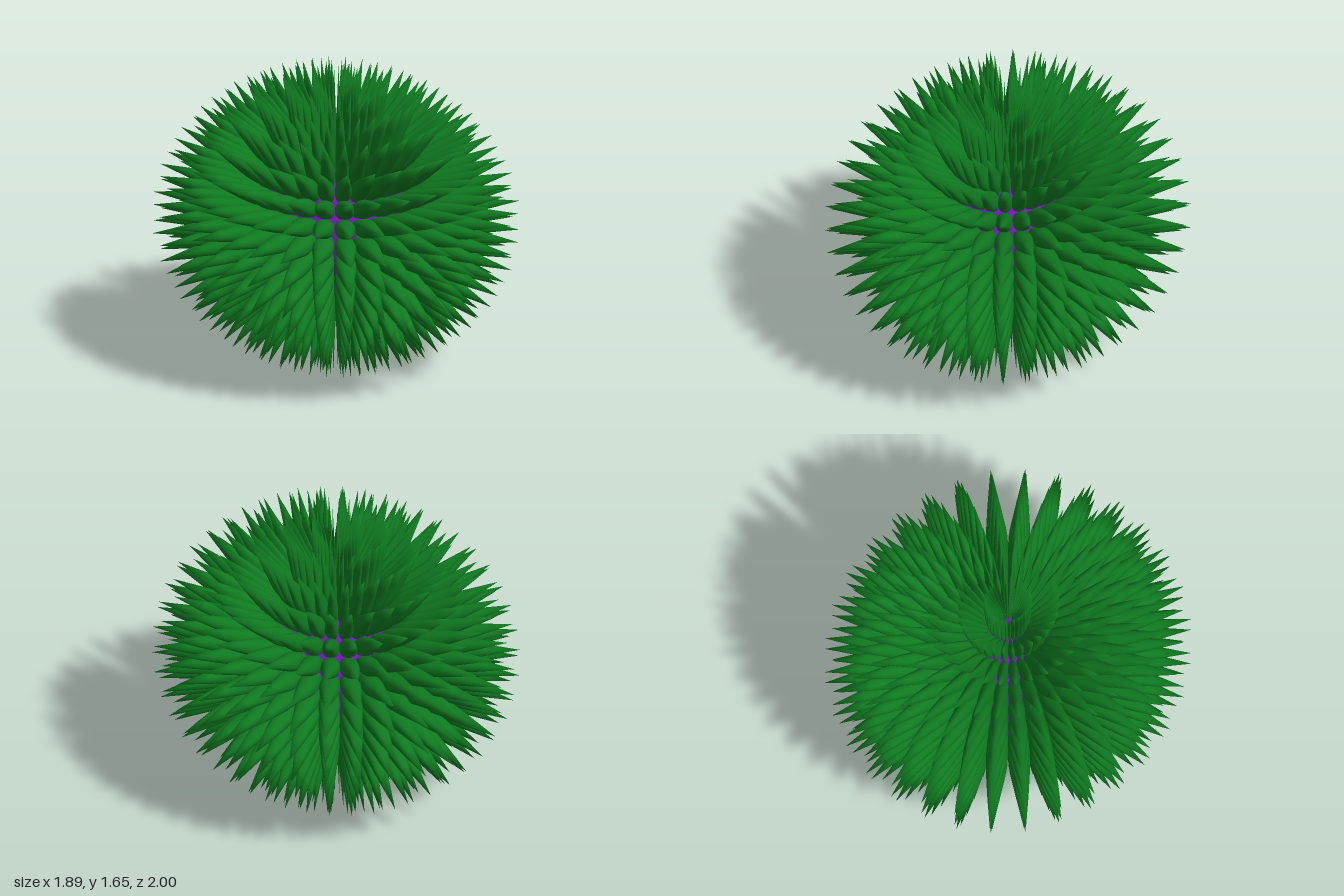
import * as THREE from 'three';

const COLUMNS = 32, ROWS = 16, SAMPLES = 4;
const SCALE = new THREE.Vector3(0.955, 0.832, 1.01); // squashed ball, tip to centre
const CENTRE_Y = 0.826;
// [distance from the centre, size of the section]: narrow neck, bulge, long taper
const PROFILE = [[0.47, 0.43], [0.53, 0.505], [0.575, 0.575], [0.62, 0.605], [0.67, 0.565], [0.82, 0.33], [1, 0]];

function direction(row, column) {
  const theta = (row / ROWS) * Math.PI, phi = (column / COLUMNS) * Math.PI * 2;
  return new THREE.Vector3(Math.sin(theta) * Math.sin(phi), Math.cos(theta), Math.sin(theta) * Math.cos(phi));
}

// corners of one cell of the ball, counter-clockwise from outside; triangles at the poles
function cellCorners(row, column) {
  const corners = [];
  corners.push(direction(row + 1, column));
  if (row < ROWS - 1) corners.push(direction(row + 1, column + 1));
  corners.push(direction(row, column + 1));
  if (row > 0) corners.push(direction(row, column));
  return corners;
}

// rounded outline touching the middle of each cell edge
function roundedOutline(corners) {
  const points = [], n = corners.length;
  corners.forEach((corner, i) => {
    const a = corners[(i + n - 1) % n].clone().lerp(corner, 0.5);
    const b = corners[(i + 1) % n].clone().lerp(corner, 0.5);
    const curve = new THREE.QuadraticBezierCurve3(a, corner, b);
    for (let s = 0; s < SAMPLES; s++) points.push(curve.getPoint(s / SAMPLES));
  });
  return points;
}

function addSpike(row, column, positions, indices) {
  const corners = cellCorners(row, column);
  const middle = new THREE.Vector3();
  corners.forEach((c) => middle.addScaledVector(c, 1 / corners.length));
  const axis = middle.clone().normalize();
  const outline = roundedOutline(corners), n = outline.length;
  const start = positions.length / 3, last = PROFILE.length - 1;
  const put = (p) => positions.push(p.x * SCALE.x, p.y * SCALE.y, p.z * SCALE.z);

  PROFILE.slice(0, last).forEach(([distance, size], ring) => {
    for (let k = 0; k < n; k++) {
      put(outline[k].clone().sub(middle).multiplyScalar(size).addScaledVector(axis, distance));
      const a = start + ring * n + k, b = start + ring * n + ((k + 1) % n);
      if (ring < last - 1) indices.push(a, b, b + n, a, b + n, a + n);
      else indices.push(a, b, start + last * n);
    }
  });
  put(axis); // tip
}

export function createModel() {
  const group = new THREE.Group();
  group.name = 'spikyBall';

  // inner ball
  const body = new THREE.Mesh(
    new THREE.SphereGeometry(0.5, COLUMNS, ROWS * 2),
    new THREE.MeshStandardMaterial({ color: 0x7a0fbf })
  );
  body.name = 'body';
  body.scale.copy(SCALE);
  body.position.y = CENTRE_Y;
  group.add(body);

  // one ring of spikes per row
  const green = new THREE.MeshStandardMaterial({ color: 0x0f7a20 });
  for (let row = 0; row < ROWS; row++) {
    const positions = [], indices = [];
    for (let column = 0; column < COLUMNS; column++) addSpike(row, column, positions, indices);
    const geometry = new THREE.BufferGeometry();
    geometry.setAttribute('position', new THREE.Float32BufferAttribute(positions, 3));
    geometry.setIndex(indices);
    geometry.computeVertexNormals();
    const ring = new THREE.Mesh(geometry, green);
    ring.name = 'spikeRing' + (row + 1);
    ring.position.y = CENTRE_Y;
    group.add(ring);
  }
  return group;
}
